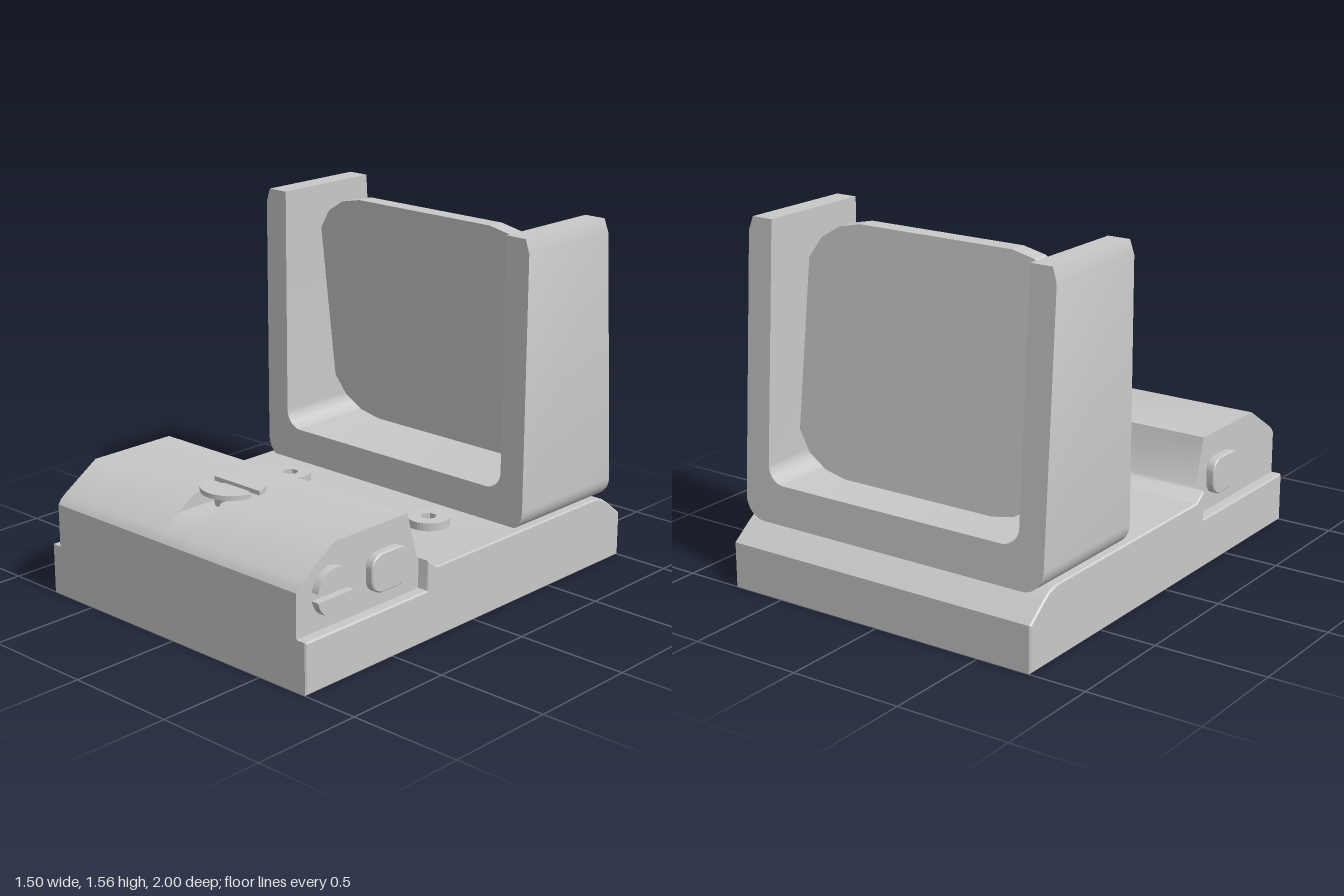
import * as THREE from 'three';
import { toCreasedNormals } from 'three/addons/utils/BufferGeometryUtils.js';

const metal = new THREE.MeshStandardMaterial({ color: 0xc8c8c8 });
metal.name = 'light grey';

function add(parent, name, geometry) {
  const mesh = new THREE.Mesh(geometry, metal);
  mesh.name = name;
  parent.add(mesh);
  return mesh;
}

const shapeOf = (points) => new THREE.Shape(points.map(([a, b]) => new THREE.Vector2(a, b)));

function extrude(shape, depth, bevel = 0) {
  return toCreasedNormals(new THREE.ExtrudeGeometry(shape, {
    depth: depth - 2 * bevel, bevelEnabled: bevel > 0, bevelSize: bevel,
    bevelOffset: -bevel, bevelThickness: bevel, bevelSegments: 1, curveSegments: 10,
  }).translate(0, 0, bevel), 0.6);
}

// Side profile of (z, y) points, extruded across x from x0 to x1
function sideProfile(points, x0, x1, bevel) {
  return extrude(shapeOf(points), x1 - x0, bevel).rotateY(-Math.PI / 2).translate(x1, 0, 0);
}

function roundedRect(w, h, r) {
  const s = new THREE.Shape(), a = w / 2 - r, b = h / 2 - r;
  s.absarc(a, b, r, 0, Math.PI / 2);
  s.absarc(-a, b, r, Math.PI / 2, Math.PI);
  s.absarc(-a, -b, r, Math.PI, Math.PI * 1.5);
  s.absarc(a, -b, r, Math.PI * 1.5, Math.PI * 2);
  s.closePath();
  return s;
}

// Two half discs with an open slot between them, facing +z
function slottedHead(name, r, height, slot) {
  const head = new THREE.Group();
  head.name = name;
  const a = Math.asin(slot / 2 / r);
  for (const start of [a, Math.PI + a]) {
    const s = new THREE.Shape();
    s.absarc(0, 0, r, start, start + Math.PI - 2 * a);
    s.closePath();
    add(head, name + 'Half', new THREE.ExtrudeGeometry(s, { depth: height, bevelEnabled: false, curveSegments: 20 }));
  }
  return head;
}

export function createModel() {
  const model = new THREE.Group();
  model.name = 'reflexSight';

  // Base with front ledge, shoulder and rounded rear edge
  add(model, 'base', sideProfile([
    [1, 0], [1, 0.22], [0.3, 0.22], [0.3, 0.35], [0.24, 0.31], [-0.82, 0.31],
    [-0.87, 0.297], [-0.91, 0.27], [-1, 0.2], [-1, 0],
  ], -0.75, 0.75, 0.006));

  // Front housing in three slabs; the middle one has the screw notch
  const front = [[1, 0.22], [1, 0.41], [0.985, 0.43], [0.96, 0.45]];
  const rear = [[0.37, 0.56], [0.31, 0.36], [0.3, 0.35], [0.3, 0.22]];
  const full = [...front, [0.79, 0.56], ...rear];
  const notched = [...front, [0.88, 0.502], [0.65, 0.5], [0.65, 0.56], ...rear];
  add(model, 'housingRight', sideProfile(full, -0.7, -0.08));
  add(model, 'housingNotch', sideProfile(notched, -0.08, 0.08));
  add(model, 'housingLeft', sideProfile(full, 0.08, 0.7));

  // Elevation screw on top
  const topScrew = slottedHead('topScrew', 0.135, 0.02, 0.045);
  topScrew.rotation.x = -Math.PI / 2;
  topScrew.position.set(0, 0.56, 0.653);
  model.add(topScrew);
  add(model, 'topScrewShank', new THREE.CylinderGeometry(0.078, 0.075, 0.07, 32)).position.set(0, 0.53, 0.653);

  // Windage screw on the left side
  const sideScrew = slottedHead('sideScrew', 0.1, 0.035, 0.036);
  sideScrew.rotation.y = Math.PI / 2;
  sideScrew.position.set(0.7, 0.37, 0.816);
  model.add(sideScrew);

  // Push buttons on both sides
  for (const s of [-1, 1]) {
    const button = add(model, 'button', extrude(roundedRect(0.215, 0.165, 0.06), 0.04, 0.005));
    button.rotation.y = s * Math.PI / 2;
    button.position.set(s * 0.698, 0.372, 0.507);
  }

  // Light emitter on the rear slope of the housing
  const emitter = add(model, 'emitter', new THREE.SphereGeometry(0.075, 24, 12));
  emitter.scale.z = 0.8;
  emitter.position.set(0, 0.34, 0.335);

  // Hex socket mounting screws
  for (const x of [-0.41, 0.41]) {
    const s = new THREE.Shape().absarc(0, 0, 0.092, 0, Math.PI * 2);
    const hex = Array.from({ length: 6 }, (_, i) =>
      new THREE.Vector2(0.036 * Math.cos(i * Math.PI / 3), 0.036 * Math.sin(i * Math.PI / 3)));
    s.holes.push(new THREE.Path(hex));
    const screw = add(model, 'mountingScrew', new THREE.ExtrudeGeometry(s, { depth: 0.037, bevelEnabled: false, curveSegments: 20 }));
    screw.rotation.x = -Math.PI / 2;
    screw.position.set(x, 0.308, -0.095);
  }

  // U-shaped window frame with rounded corners and a sloping back
  const u = new THREE.Shape();
  const X = 0.75, I = 0.63, bottom = 0.29, floor = 0.46, top = 1.56, R = 0.1, r = 0.08;
  u.moveTo(-X + R, bottom);
  u.lineTo(X - R, bottom);
  u.absarc(X - R, bottom + R, R, -Math.PI / 2, 0);
  u.lineTo(X, top - 0.06);
  u.lineTo(X - 0.02, top);
  u.lineTo(I, top);
  u.lineTo(I, floor + r);
  u.absarc(I - r, floor + r, r, 0, -Math.PI / 2, true);
  u.lineTo(-I + r, floor);
  u.absarc(-I + r, floor + r, r, -Math.PI / 2, -Math.PI, true);
  u.lineTo(-I, top);
  u.lineTo(-X + 0.02, top);
  u.lineTo(-X, top - 0.06);
  u.lineTo(-X, bottom + R);
  u.absarc(-X + R, bottom + R, R, Math.PI, Math.PI * 1.5);
  const frame = new THREE.ExtrudeGeometry(u, { depth: 1, bevelEnabled: false, curveSegments: 8 });
  const p = frame.attributes.position;
  for (let i = 0; i < p.count; i++) {
    const back = -0.92 + (p.getY(i) - bottom) * 0.07;
    p.setZ(i, p.getZ(i) > 0.5 ? -0.3 : back);
  }
  frame.computeVertexNormals();
  add(model, 'windowFrame', toCreasedNormals(frame, 0.6));

  // Lens with clipped corners, leaning forward at the top
  const corner = [[0.63, 0.36], [0.57, 0.45], [0.48, 0.505], [0.375, 0.527]];
  const upper = [...corner, ...corner.map(([x, y]) => [-x, y]).reverse()];
  const outline = [...upper, ...upper.map(([x, y]) => [-x, -y])];
  const lens = new THREE.ExtrudeGeometry(shapeOf(outline), { depth: 0.08, bevelEnabled: false });
  const q = lens.attributes.position;
  for (let i = 0; i < q.count; i++) q.setZ(i, q.getZ(i) - 0.655 + q.getY(i) * 0.13);
  lens.translate(0, 1, 0);
  lens.computeVertexNormals();
  add(model, 'lens', lens);

  return model;
}
